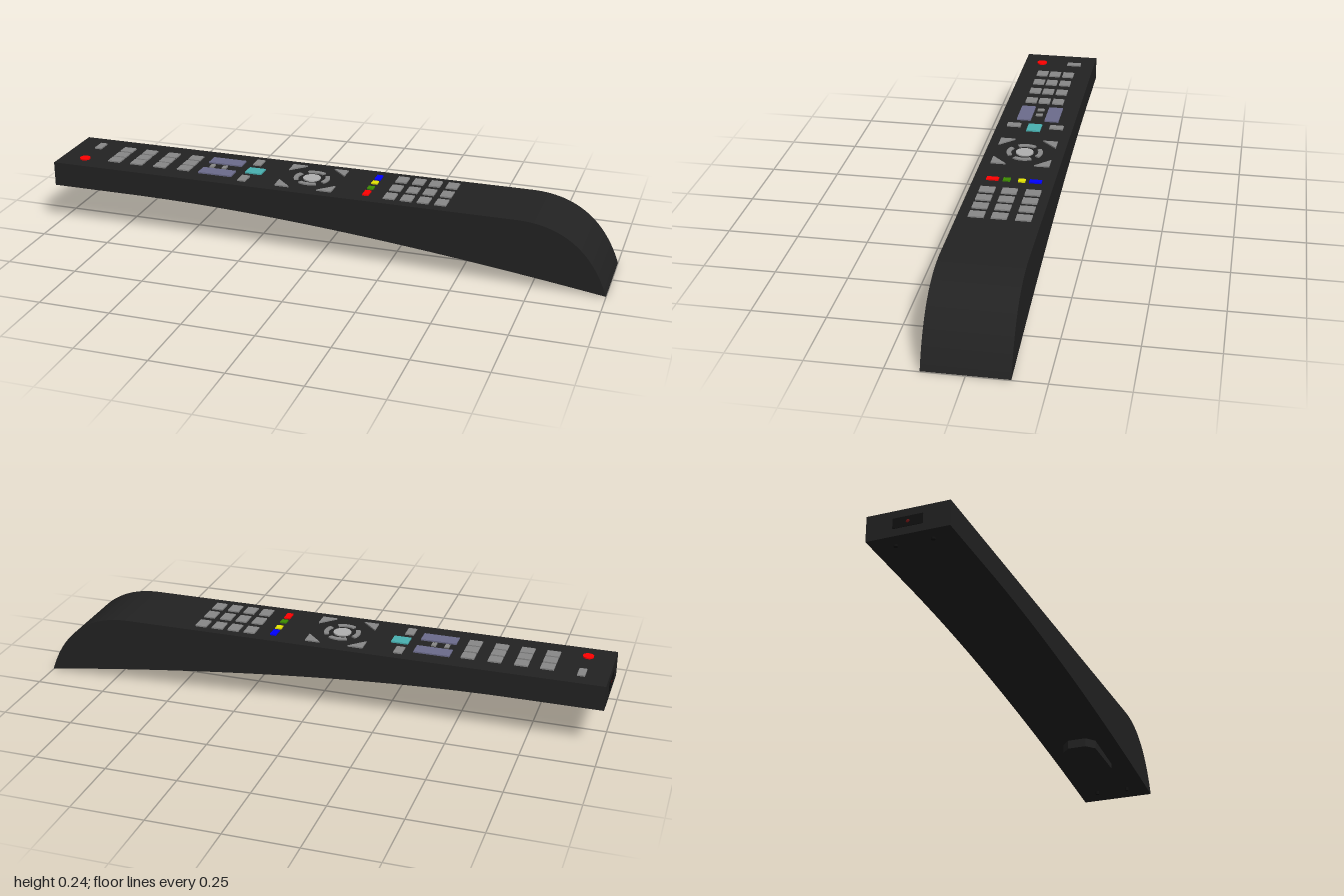
import * as THREE from 'three';

const TOP = 0.237, KEY_TOP = 0.242, HALF = 0.139;
const mat = (color) => new THREE.MeshStandardMaterial({ color });
const casing = mat(0x222222), dark = mat(0x111111), grey = mat(0x888888), pale = mat(0xb0b0b0),
  lavender = mat(0x6c6c8c), teal = mat(0x48b0b0), red = mat(0xff0000), blue = mat(0x0000ff),
  yellow = mat(0xe6e600), green = mat(0x3c8c00);

export function createModel() {
  const group = new THREE.Group();
  group.name = 'remoteControl';
  const add = (name, geometry, material, x = 0, y = 0, z = 0) => {
    const mesh = new THREE.Mesh(geometry, material);
    mesh.name = name;
    mesh.position.set(x, y, z);
    group.add(mesh);
    return mesh;
  };
  // Rectangular key standing just proud of the top face
  const key = (name, material, x, z, w, d) =>
    add(name, new THREE.BoxGeometry(w, 0.01, d), material, x, KEY_TOP - 0.005, z);
  // Plan outline (x, -z) raised by a height
  const slab = (shape, height) =>
    new THREE.ExtrudeGeometry(shape, { depth: height, bevelEnabled: false, curveSegments: 12 }).rotateX(-Math.PI / 2);

  // Casing: side profile swept across the width
  const profile = new THREE.Shape();
  profile.moveTo(-1, 0.15);
  profile.lineTo(-0.7, 0.15);
  profile.quadraticCurveTo(0, 0.15, 1, 0.004);
  profile.bezierCurveTo(0.95, 0.15, 0.85, TOP, 0.69, TOP);
  profile.lineTo(-1, TOP);
  const body = new THREE.ExtrudeGeometry(profile, { depth: HALF * 2, bevelEnabled: false, curveSegments: 40 });
  add('casing', body.translate(0, 0, -HALF), casing);

  // Raised pad under the thick end, with clipped corners
  const pad = new THREE.Shape();
  const px = 0.125, pz = 0.065, c = 0.03;
  [[px, pz - c], [px - c, pz], [c - px, pz], [-px, pz - c], [-px, c - pz], [c - px, -pz], [px - c, -pz], [px, c - pz]]
    .forEach(([x, z], i) => (i ? pad.lineTo(x, z) : pad.moveTo(x, z)));
  add('undersidePad', slab(pad, 0.035), casing, 0.625, 0.029, 0).rotation.z = -0.06;

  // Four small feet
  for (const z of [-0.062, 0.062]) {
    add('frontFoot', new THREE.CylinderGeometry(0.007, 0.007, 0.018, 16), dark, 0.925, 0.011, z);
    add('rearFoot', new THREE.CylinderGeometry(0.007, 0.007, 0.012, 16), dark, -0.95, 0.15, z);
  }

  // Emitter window in the thin end
  add('emitterWindow', new THREE.BoxGeometry(0.006, 0.035, 0.1), dark, -0.999, 0.193, 0);
  add('emitter', new THREE.SphereGeometry(0.008, 16, 8).scale(0.4, 1, 1), mat(0x661111), -1, 0.193, 0);

  // Power and source keys
  add('powerKey', new THREE.CylinderGeometry(0.019, 0.019, 0.01, 32), red, -0.91, KEY_TOP - 0.005, 0.07);
  key('sourceKey', grey, -0.91, -0.06, 0.026, 0.053);

  // Number keys
  for (const x of [-0.795, -0.708, -0.618, -0.526])
    for (const z of [-0.052, 0, 0.05]) key('numberKey', grey, x, z, 0.046, 0.042);

  // Rocker keys, with two tiny keys between them
  for (const z of [-0.053, 0.05]) key('rockerKey', lavender, -0.403, z, 0.125, 0.052);
  for (const x of [-0.44, -0.394]) key('tinyKey', grey, x, 0, 0.016, 0.025);

  // Menu keys
  for (const z of [-0.08, 0.077]) key('sideKey', grey, -0.292, z, 0.03, 0.05);
  key('menuKey', teal, -0.277, 0, 0.06, 0.05);

  // Navigation cluster: centre disc, four arcs and four corner triangles
  const cx = -0.065;
  add('selectKey', new THREE.CylinderGeometry(0.031, 0.031, 0.01, 40), pale, cx, KEY_TOP - 0.005, 0);
  for (let i = 0; i < 4; i++) {
    const mid = i * Math.PI / 2, arc = new THREE.Shape();
    arc.absarc(0, 0, 0.064, mid - 0.55, mid + 0.55, false);
    arc.absarc(0, 0, 0.048, mid + 0.55, mid - 0.55, true);
    add('arrowKey', slab(arc, 0.01), grey, cx, KEY_TOP - 0.01, 0);

    const tri = new THREE.Shape();
    tri.moveTo(0.103, 0.103);
    tri.lineTo(0.05, 0.103);
    tri.lineTo(0.103, 0.05);
    add('cornerKey', slab(tri, 0.01), grey, cx, KEY_TOP - 0.01, 0).rotation.y = mid;
  }

  // Coloured keys
  key('blueKey', blue, 0.158, -0.075, 0.022, 0.042);
  key('yellowKey', yellow, 0.158, -0.028, 0.022, 0.025);
  key('greenKey', green, 0.158, 0.024, 0.022, 0.025);
  key('redKey', red, 0.158, 0.073, 0.022, 0.042);

  // Playback keys
  for (const x of [0.243, 0.303, 0.362, 0.423])
    for (const z of [-0.08, 0, 0.076]) key('playbackKey', grey, x, z, 0.04, 0.052);

  return group;
}
